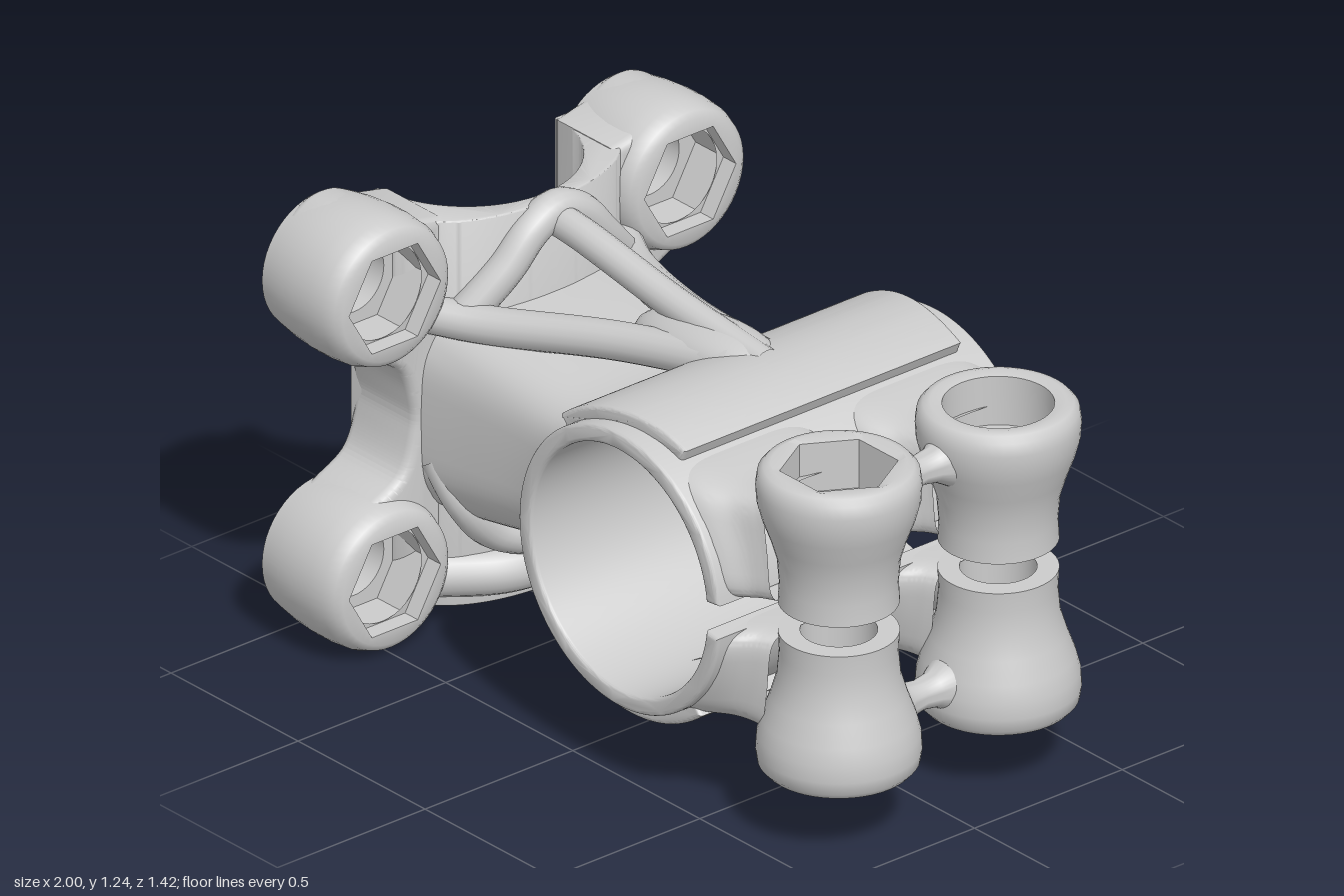
import * as THREE from 'three';
import { toCreasedNormals } from 'three/addons/utils/BufferGeometryUtils.js';

const material = new THREE.MeshStandardMaterial({ color: 0xcccccc, side: THREE.DoubleSide });
const MID = 0.6225; // height of the clamp axis
const HEX = 0.155; // profile points at this radius become six-sided

function add(parent, name, geometry, crease = 0.6) {
  const mesh = new THREE.Mesh(toCreasedNormals(geometry, crease), material);
  mesh.name = name;
  parent.add(mesh);
  return mesh;
}

// Changes every vertex by a rule
function warp(geometry, rule) {
  const p = geometry.attributes.position;
  const v = new THREE.Vector3();
  for (let i = 0; i < p.count; i++) {
    rule(v.fromBufferAttribute(p, i));
    p.setXYZ(i, v.x, v.y, v.z);
  }
  return geometry;
}

function extrude(shape, from, to, bevel) {
  return new THREE.ExtrudeGeometry(shape, {
    depth: to - from - 2 * bevel, bevelThickness: bevel, bevelSize: bevel,
    bevelOffset: -bevel, bevelSegments: 4, curveSegments: 48,
  }).translate(0, 0, from + bevel);
}

// Curved strip around the clamp axis
function sector(inner, outer, start, end) {
  const s = new THREE.Shape();
  s.absarc(0, 0, outer, start, end, false);
  s.absarc(0, 0, inner, end, start, true);
  return s;
}

// Turned boss whose recess may be hexagonal
function boss(points) {
  const g = new THREE.LatheGeometry(points.map(([r, y]) => new THREE.Vector2(r, y)), 48);
  return warp(g, (v) => {
    const r = Math.hypot(v.x, v.z);
    if (Math.abs(r - HEX) > 1e-4) return;
    const step = Math.PI / 3;
    const a = Math.atan2(v.x, v.z) - Math.PI / 2 + 4 * Math.PI;
    const k = Math.cos(step / 2) / Math.cos((a % step) - step / 2);
    v.x *= k;
    v.z *= k;
  });
}

function strut(parent, name, points, radius) {
  const path = new THREE.CatmullRomCurve3(points.map((p) => new THREE.Vector3(...p)));
  return add(parent, name, new THREE.TubeGeometry(path, 40, radius, 16, false), 1);
}

// Strut continued as its mirror image; the last point lies on z = 0
function arch(parent, name, points, radius) {
  const mirrored = points.slice(0, -1).reverse().map(([x, y, z]) => [x, y, -z]);
  return strut(parent, name, [...points, ...mirrored], radius);
}

// Lofts rounded sections [along, bottom, top, half width] between two curved ends
function loft(sections, power, centre, startX, endX) {
  const curve = (f) => new THREE.CatmullRomCurve3(sections.map(f), false, 'catmullrom');
  const heights = curve(([s, lo, hi]) => new THREE.Vector3(s, lo, hi));
  const widths = curve(([s, , , w]) => new THREE.Vector3(s, w, 0));
  const rows = 32, cols = 64, pos = [], index = [];
  const round = (c) => Math.sign(c) * Math.abs(c) ** power;
  for (let i = 0; i <= rows; i++) {
    const h = heights.getPoint(i / rows);
    const w = widths.getPoint(i / rows).y;
    for (let j = 0; j < cols; j++) {
      const a = (j / cols) * 2 * Math.PI;
      const z = centre + w * round(Math.cos(a));
      const y = (h.y + h.z) / 2 + ((h.z - h.y) / 2) * round(Math.sin(a));
      pos.push(THREE.MathUtils.lerp(startX(y, z), endX(y, z), h.x), y, z);
      if (i === rows) continue;
      const p = i * cols + j, q = i * cols + ((j + 1) % cols);
      index.push(p, q, p + cols, q, q + cols, p + cols);
    }
  }
  const g = new THREE.BufferGeometry();
  g.setAttribute('position', new THREE.Float32BufferAttribute(pos, 3));
  g.setIndex(index);
  return g;
}

// Upper half of the clamp ears; the lower half is the same turned over
function clampEars() {
  const half = new THREE.Group();
  half.name = 'clampEars';
  for (const side of [1, -1]) {
    const recess = side > 0 ? HEX : 0.145;
    add(half, side > 0 ? 'nutBoss' : 'boltBoss', boss([
      [0.1, 0.0425], [0.157, 0.0425], [0.154, 0.1], [0.16, 0.17], [0.178, 0.23], [0.2, 0.29],
      [0.212, 0.335], [0.215, 0.38], [0.21, 0.415], [0.195, 0.432], [0.175, 0.4375],
      [recess, 0.43], [recess, 0.29], [0.1, 0.29], [0.1, 0.0425],
    ])).position.set(0.555, 0, side * 0.27);

    // Neck tapering from the ring wall into the boss
    const sections = [
      [0, 0.0425, 0.35, 0.25], [0.25, 0.0425, 0.35, 0.225], [0.5, 0.0425, 0.335, 0.185],
      [0.7, 0.0425, 0.335, 0.165], [0.82, 0.0425, 0.345, 0.155],
    ];
    add(half, 'neck', loft(sections, 0.36, side * 0.28, (y) => Math.sqrt(0.362 ** 2 - y * y), () => 0.5), 0.9);
  }
  // Waisted bridge between both bosses
  const waist = [[0.1, -0.115], [0.07, -0.085], [0.047, -0.045], [0.04, 0], [0.047, 0.045], [0.07, 0.085], [0.1, 0.115]];
  add(half, 'bridge', new THREE.LatheGeometry(waist.map(([r, y]) => new THREE.Vector2(r, y)), 32).rotateX(Math.PI / 2), 1)
    .position.set(0.555, 0.325, 0);
  return half;
}

// Right flange with two bolt bosses; the left one is the same turned over
function saddleFlange() {
  const group = new THREE.Group();
  group.name = 'saddleFlange';
  const quarter = [[0.39, 0.572], [0.47, 0.612], [0.56, 0.605], [0.65, 0.53], [0.69, 0.41], [0.64, 0.28], [0.53, 0.21], [0.43, 0.15], [0.39, 0.04]];
  const outline = [...quarter, ...quarter.map(([z, y]) => [z, -y]).reverse()];
  const shape = new THREE.Shape();
  shape.moveTo(0.29, 0.55);
  shape.lineTo(...quarter[0]);
  shape.splineThru(outline.slice(1).map(([z, y]) => new THREE.Vector2(z, y)));
  shape.lineTo(0.29, -0.55);
  for (const y of [-0.41, 0.41]) {
    shape.holes.push(new THREE.Path().absarc(0.5, y, 0.16, 0, 2 * Math.PI, true));
    // Bolt boss with a hexagonal recess
    add(group, 'saddleBoss', boss([
      [0.1, 0], [0.192, 0], [0.198, 0.03], [0.206, 0.08], [0.211, 0.14], [0.211, 0.2], [0.206, 0.25],
      [0.193, 0.285], [0.175, 0.298], [HEX, 0.3], [HEX, 0.14], [0.1, 0.14], [0.1, 0],
    ]).rotateY(Math.PI / 2).rotateZ(-Math.PI / 2)).position.set(-1, y, -0.5);
  }
  add(group, 'flange', extrude(shape, -1, -0.75, 0.028).rotateY(Math.PI / 2), 0.8);
  group.position.y = 0.62;
  return group;
}

export function createModel() {
  const model = new THREE.Group();
  model.name = 'clampBracket';

  // Split ring with its pads and ears
  const clamp = new THREE.Group();
  clamp.name = 'clamp';
  clamp.position.set(0.225, MID, 0);
  model.add(clamp);
  add(clamp, 'splitRing', extrude(sector(0.345, 0.395, 0.118, 2 * Math.PI - 0.118), -0.54, 0.54, 0.012));
  const deg = Math.PI / 180;
  const topPad = extrude(sector(0.38, 0.43, 65 * deg, 130 * deg), -0.5, 0.5, 0.012);
  add(clamp, 'topPad', warp(topPad, (v) => { v.z *= 1 - 0.06 * THREE.MathUtils.smoothstep(v.x, -0.2, 0.2); }));
  add(clamp, 'bottomPad', extrude(sector(0.38, 0.43, 222 * deg, 310 * deg), -0.5, 0.5, 0.012));
  const lowerEars = clampEars();
  lowerEars.rotation.x = Math.PI;
  clamp.add(clampEars(), lowerEars);

  // Body joining the saddle to the clamp
  const bodySections = [
    [0, 0.3, 0.9, 0.38], [0.2, 0.32, 0.89, 0.37], [0.45, 0.35, 0.875, 0.355],
    [0.7, 0.385, 0.86, 0.352], [0.85, 0.39, 0.86, 0.37], [0.93, 0.385, 0.865, 0.42], [1, 0.37, 0.875, 0.52],
  ];
  add(model, 'body', loft(bodySections, 0.5, 0,
    (y, z) => -1 + Math.sqrt(Math.max(0.34 ** 2 - z * z, 0.0025)),
    (y) => 0.225 - Math.sqrt(0.375 ** 2 - (y - MID) ** 2)), 1);

  // Saddle wall around the vertical tube groove, with its side flanges
  const wall = new THREE.Shape();
  wall.moveTo(-1, 0.3);
  wall.lineTo(-1, 0.39);
  wall.lineTo(-0.86, 0.37);
  wall.bezierCurveTo(-0.7, 0.33, -0.655, 0.15, -0.655, 0);
  wall.bezierCurveTo(-0.655, -0.15, -0.7, -0.33, -0.86, -0.37);
  wall.lineTo(-1, -0.39);
  wall.lineTo(-1, -0.3);
  wall.absarc(-1, 0, 0.3, -Math.PI / 2, Math.PI / 2, false);
  add(model, 'saddle', extrude(wall, 0.055, 1.168, 0.006).rotateX(-Math.PI / 2));
  const leftFlange = saddleFlange();
  leftFlange.rotation.x = Math.PI;
  model.add(saddleFlange(), leftFlange);

  // Upper and lower truss members
  for (const side of [1, -1]) {
    strut(model, 'upperSideStrut', [[-0.76, 0.9, side * 0.32], [-0.62, 0.9, side * 0.25], [-0.27, 0.95, side * 0.12], [0.1, 1.0, side * 0.04]], 0.052);
    strut(model, 'lowerFork', [[-0.2, 0.245, 0], [-0.03, 0.23, side * 0.06], [0.1, 0.185, side * 0.19], [0.21, 0.155, side * 0.255], [0.27, 0.25, side * 0.29]], 0.052);
  }
  arch(model, 'upperArch', [[-0.7, 0.9, 0.27], [-0.66, 1.02, 0.16], [-0.65, 1.11, 0.08], [-0.65, 1.145, 0]], 0.05);
  arch(model, 'lowerArch', [[-0.74, 0.5, 0.32], [-0.67, 0.38, 0.29], [-0.66, 0.27, 0.19], [-0.64, 0.22, 0]], 0.05);
  arch(model, 'saddleFoot', [[-0.78, 0.14, 0.3], [-0.68, 0.14, 0.15], [-0.66, 0.14, 0]], 0.065);
  arch(model, 'lowerCrossbar', [[0.21, 0.15, 0.27], [0.2, 0.145, 0]], 0.045);
  strut(model, 'upperRib', [[-0.68, 1.12, 0], [-0.55, 1.11, 0], [-0.2, 1.055, 0], [0.18, 1.015, 0]], 0.045);
  strut(model, 'lowerRib', [[-0.68, 0.245, 0], [-0.4, 0.25, 0], [0.05, 0.245, 0]], 0.072);

  // Swelling where the upper members meet the ring
  const blend = add(model, 'upperJoint', new THREE.SphereGeometry(1, 32, 20), 1);
  blend.scale.set(0.26, 0.075, 0.11);
  blend.position.set(-0.05, 0.985, 0);
  blend.rotation.z = 0.12;

  return model;
}
